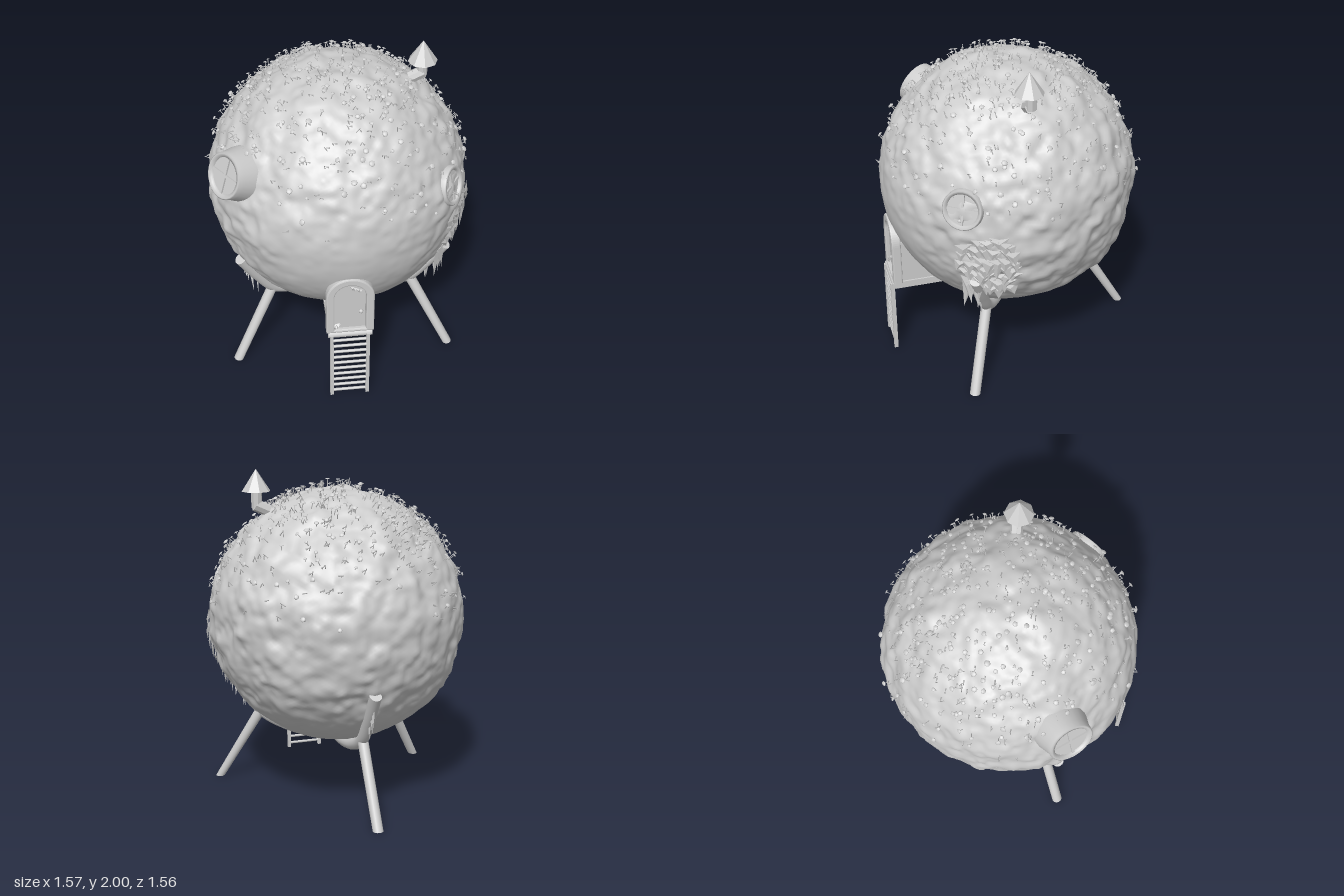
import * as THREE from 'three';
import { mergeGeometries, mergeVertices } from 'three/addons/utils/BufferGeometryUtils.js';

const CY = 1.105, R = 0.763;
const V = (x, y, z) => new THREE.Vector3(x, y, z);
const UP = V(0, 1, 0);
const grey = new THREE.MeshStandardMaterial({ color: 0xcccccc, side: THREE.DoubleSide });
grey.name = 'plain grey';

let seed = 7;
const rand = () => { seed = (seed * 16807) % 2147483647; return seed / 2147483647; };
const range = (a, b) => a + (b - a) * rand();

// smooth value noise for the lumpy surface
const hash = (x, y, z) => { const s = Math.sin(x * 127.1 + y * 311.7 + z * 74.7) * 43758.5453; return s - Math.floor(s); };
function noise(x, y, z) {
  const i = Math.floor(x), j = Math.floor(y), k = Math.floor(z);
  const f = t => t * t * (3 - 2 * t), L = THREE.MathUtils.lerp;
  const u = f(x - i), v = f(y - j), w = f(z - k);
  const row = (b, c) => L(hash(i, b, c), hash(i + 1, b, c), u);
  return L(L(row(j, k), row(j + 1, k), v), L(row(j, k + 1), row(j + 1, k + 1), v), w) * 2 - 1;
}
function ballRadius(d) {
  const smoothFront = THREE.MathUtils.smoothstep(d.z - d.y * 0.6, 0.65, 1.1);
  const smoothBase = THREE.MathUtils.smoothstep(-d.y, 0.45, 0.85);
  const rough = 1 - 0.85 * Math.max(smoothFront, smoothBase);
  return R + 0.004 * noise(d.x * 2.5, d.y * 2.5, d.z * 2.5)
    + rough * (0.018 * noise(d.x * 7, d.y * 8, d.z * 7) + 0.01 * noise(d.x * 16 + 5, d.y * 18, d.z * 16));
}
const onBall = (d, lift = 0) => d.clone().multiplyScalar(ballRadius(d) + lift).add(V(0, CY, 0));

function add(parent, name, geo, pos) {
  const m = new THREE.Mesh(geo, grey);
  m.name = name;
  if (pos) m.position.copy(pos);
  parent.add(m);
  return m;
}
function flat(geo) {
  const g = geo.index ? geo.toNonIndexed() : geo;
  g.computeVertexNormals();
  return g;
}
function rod(a, b, r, sides = 16) {
  const d = b.clone().sub(a), g = new THREE.CylinderGeometry(r, r, d.length(), sides);
  g.applyQuaternion(new THREE.Quaternion().setFromUnitVectors(UP, d.normalize()));
  return g.translate((a.x + b.x) / 2, (a.y + b.y) / 2, (a.z + b.z) / 2);
}
function arch(w, bottom, top, Type = THREE.Shape) {
  const s = new Type();
  s.moveTo(-w, bottom); s.lineTo(w, bottom); s.lineTo(w, top - w);
  s.absarc(0, top - w, w, 0, Math.PI, false);
  s.lineTo(-w, bottom);
  return s;
}
// tapering ragged strips, each a folded triangle with its tip hanging down
function strips(list) {
  const p = [];
  for (const { at, side, out, w, len } of list) {
    const a = at.clone().addScaledVector(side, -w), b = at.clone().addScaledVector(side, w);
    const ridge = at.clone().addScaledVector(out, 0.01).add(V(0, -len * 0.35, 0));
    const tip = at.clone().addScaledVector(side, w * range(-0.8, 0.8)).add(V(0, -len, 0));
    for (const q of [a, ridge, b, a, tip, ridge, ridge, tip, b]) p.push(q.x, q.y, q.z);
  }
  const g = new THREE.BufferGeometry();
  g.setAttribute('position', new THREE.Float32BufferAttribute(p, 3));
  g.computeVertexNormals();
  return g;
}

function ball() {
  let g = new THREE.IcosahedronGeometry(1, 46);
  g.deleteAttribute('uv'); g.deleteAttribute('normal');
  g = mergeVertices(g, 1e-5);
  const p = g.attributes.position, d = V(0, 0, 0);
  for (let i = 0; i < p.count; i++) {
    d.fromBufferAttribute(p, i).normalize();
    const q = onBall(d);
    p.setXYZ(i, q.x, q.y, q.z);
  }
  g.computeVertexNormals();
  return g;
}

// stalked caps and bare blades, thick on the crown and thinning down the sides
function sprouts() {
  const parts = [];
  for (let n = 0; n < 620;) {
    const y = range(0.1, 1), a = range(0, Math.PI * 2), h = Math.sqrt(1 - y * y);
    if (rand() > Math.pow(y, 1.3) + 0.03) continue;
    n++;
    const d = V(h * Math.cos(a), y, h * Math.sin(a));
    const len = range(0.018, 0.045), r = range(0.009, 0.018);
    const lean = d.clone().add(V(range(-0.5, 0.5), range(0, 0.7), range(-0.5, 0.5))).normalize();
    const q = new THREE.Quaternion().setFromUnitVectors(UP, lean), at = onBall(d);
    const plant = [new THREE.CylinderGeometry(0.002, 0.003, len + 0.02, 4, 1, true).translate(0, len / 2 - 0.01, 0)];
    if (rand() < 0.6) plant.push(new THREE.SphereGeometry(r, 8, 3, 0, Math.PI * 2, 0, Math.PI / 2).scale(1, 0.4, 1).translate(0, len, 0));
    else plant.push(new THREE.ConeGeometry(0.006, 0.03, 3, 1, true).rotateZ(0.9).translate(0.01, len * 0.6, 0));
    for (const g of plant) parts.push(g.toNonIndexed().applyQuaternion(q).translate(at.x, at.y, at.z));
  }
  return mergeGeometries(parts);
}

// round window: flared sleeve, rim, pane and crossed bars, built facing +z
function roundWindow(name, pos, dir, r, depth, flare) {
  const g = new THREE.Group();
  g.name = name;
  const sleeve = [[r * flare, -depth], [r * (1 + flare * 2) / 3, -depth * 0.5], [r * 1.02, -0.03], [r, 0.005], [r * 0.94, 0.01], [r * 0.8, 0.004], [r * 0.78, -0.02]];
  add(g, 'windowSleeve', new THREE.LatheGeometry(sleeve.map(q => new THREE.Vector2(...q)), 24).rotateX(Math.PI / 2));
  add(g, 'windowPane', new THREE.CircleGeometry(r * 0.8, 24), V(0, 0, -0.01));
  for (const a of [0, Math.PI / 2])
    add(g, 'windowBar', new THREE.BoxGeometry(r * 1.56, r * 0.12, 0.012), V(0, 0, -0.006)).rotation.z = a;
  g.position.copy(pos);
  g.lookAt(pos.clone().add(dir));
  return g;
}

export function createModel() {
  const model = new THREE.Group();
  add(model, 'ballHouse', ball());
  add(model, 'sprouts', sprouts());

  // three curved cradle arms and three splayed legs
  const arm = [[0, 0.335], [0.16, 0.342], [0.33, 0.38], [0.48, 0.455], [0.59, 0.6], [0.705, 0.785]];
  for (let i = 0; i < 3; i++) {
    const a = -Math.PI / 2 + i * Math.PI * 2 / 3, c = Math.cos(a), s = Math.sin(a);
    const at = (r, y) => V(c * r, y, s * r);
    const curve = new THREE.CatmullRomCurve3(arm.map(([r, y]) => at(r, y)));
    add(model, 'cradleArm', new THREE.TubeGeometry(curve, 32, 0.036, 14));
    const end = curve.getPoint(1), tan = curve.getTangent(1);
    add(model, 'armCap', rod(end.clone().addScaledVector(tan, -0.01), end.clone().addScaledVector(tan, 0.004), 0.036, 14));
    const leg = rod(at(0.49, 0.46), at(0.765, -0.03), 0.032);
    const p = leg.attributes.position;
    for (let k = 0; k < p.count; k++) p.setY(k, Math.max(0, p.getY(k)));
    add(model, 'leg', leg);
    // ragged growth hanging from the arm
    const list = [];
    for (let k = 0; k < 6; k++)
      list.push({ at: curve.getPoint(range(0.78, 0.95)).add(V(c * 0.01, 0, s * 0.01)), side: V(c, 0.5, s), out: V(-s, 0, c), w: range(0.008, 0.018), len: range(0.06, 0.16) });
    add(model, 'armMoss', strips(list));
  }

  // porch body, arched frame, door and floor
  const door = new THREE.Group();
  door.name = 'doorway';
  const extrude = (s, depth, bevel) => new THREE.ExtrudeGeometry(s, { depth, bevelEnabled: bevel > 0, bevelSize: bevel, bevelThickness: bevel, bevelSegments: 2, curveSegments: 16 });
  add(door, 'porchBody', extrude(arch(0.115, 0.5, 0.885), 0.45, 0), V(0, 0, 0.255));
  const frame = arch(0.132, 0.51, 0.9);
  frame.holes.push(arch(0.1, 0.515, 0.87, THREE.Path));
  add(door, 'doorFrame', extrude(frame, 0.04, 0.008), V(0, 0, 0.7));
  add(door, 'doorPanel', extrude(arch(0.088, 0.52, 0.855), 0.02, 0.004), V(0, 0, 0.7));
  add(door, 'doorKnob', new THREE.SphereGeometry(0.013, 12, 8), V(0.062, 0.655, 0.738));
  add(door, 'porchFloor', new THREE.BoxGeometry(0.25, 0.045, 0.49), V(0, 0.482, 0.495));
  add(door, 'doorSill', rod(V(-0.13, 0.485, 0.735), V(0.13, 0.485, 0.735), 0.022, 12));
  const vine = [];
  for (let k = 0; k < 7; k++)
    vine.push({ at: V(range(-0.11, -0.07), range(0.54, 0.57), 0.735), side: V(1, 0.3, 0), out: V(0, 0, 1), w: 0.012, len: 0.035 });
  for (let k = 0; k < 4; k++)
    vine.push({ at: V(0.01 + k * 0.016, 0.845 - k * 0.008, 0.735), side: V(1, -0.3, 0), out: V(0, 0, 1), w: 0.011, len: 0.03 });
  add(door, 'doorMoss', strips(vine));
  door.position.x = -0.005;
  model.add(door);

  // ladder
  const ladder = new THREE.Group();
  ladder.name = 'ladder';
  for (const x of [-0.115, 0.1]) add(ladder, 'ladderRail', new THREE.BoxGeometry(0.02, 0.49, 0.024), V(x, 0.245, 0.752));
  for (let i = 0; i < 10; i++) {
    const y = 0.03 + i * 0.046;
    add(ladder, 'ladderRung', rod(V(-0.11, y, 0.75), V(0.1, y, 0.75), 0.009, 8));
  }
  model.add(ladder);

  // one projecting window and one flush window
  model.add(roundWindow('rightWindow', V(-0.672, 1.445, 0.405), V(-0.76, 0.34, 0.54), 0.135, 0.2, 1.25));
  model.add(roundWindow('leftWindow', V(0.619, 1.28, 0.425), V(0.81, 0.22, 0.54), 0.117, 0.08, 1.0));

  // bent stove pipe with a faceted cowl
  const chimney = new THREE.Group();
  chimney.name = 'chimney';
  add(chimney, 'lowerPipe', flat(rod(V(0.42, 1.755, 0), V(0.5, 1.792, 0), 0.036, 8)));
  add(chimney, 'upperPipe', flat(rod(V(0.49, 1.775, 0), V(0.49, 1.89, 0), 0.032, 8)));
  add(chimney, 'cowl', flat(new THREE.ConeGeometry(0.086, 0.13, 8, 1, true)), V(0.49, 1.935, 0.01));
  model.add(chimney);

  // ragged curtain of moss below the flush window
  const moss = [];
  for (let row = 0; row < 7; row++) {
    const y = 1.11 - row * 0.06, ny = (y - CY) / R, h = Math.sqrt(1 - ny * ny);
    const from = row === 0 ? 0.24 : row < 5 ? 0.19 : 0.22, to = row === 0 ? 0.5 : 0.64;
    for (let k = 0; k < 8; k++) {
      const a = THREE.MathUtils.lerp(from, to, (k + range(0.2, 0.8)) / 8);
      const d = V(h * Math.cos(a), ny, h * Math.sin(a));
      const long = row > 4 && a > 0.5 ? 0.08 : 0;
      moss.push({ at: onBall(d, range(0, 0.012)).add(V(0, range(-0.01, 0.02), 0)), side: V(-Math.sin(a), range(-0.3, 0.3), Math.cos(a)), out: V(Math.cos(a), 0, Math.sin(a)), w: range(0.035, 0.055), len: range(0.06, 0.1) + long });
    }
  }
  add(model, 'mossCurtain', strips(moss));
  return model;
}
